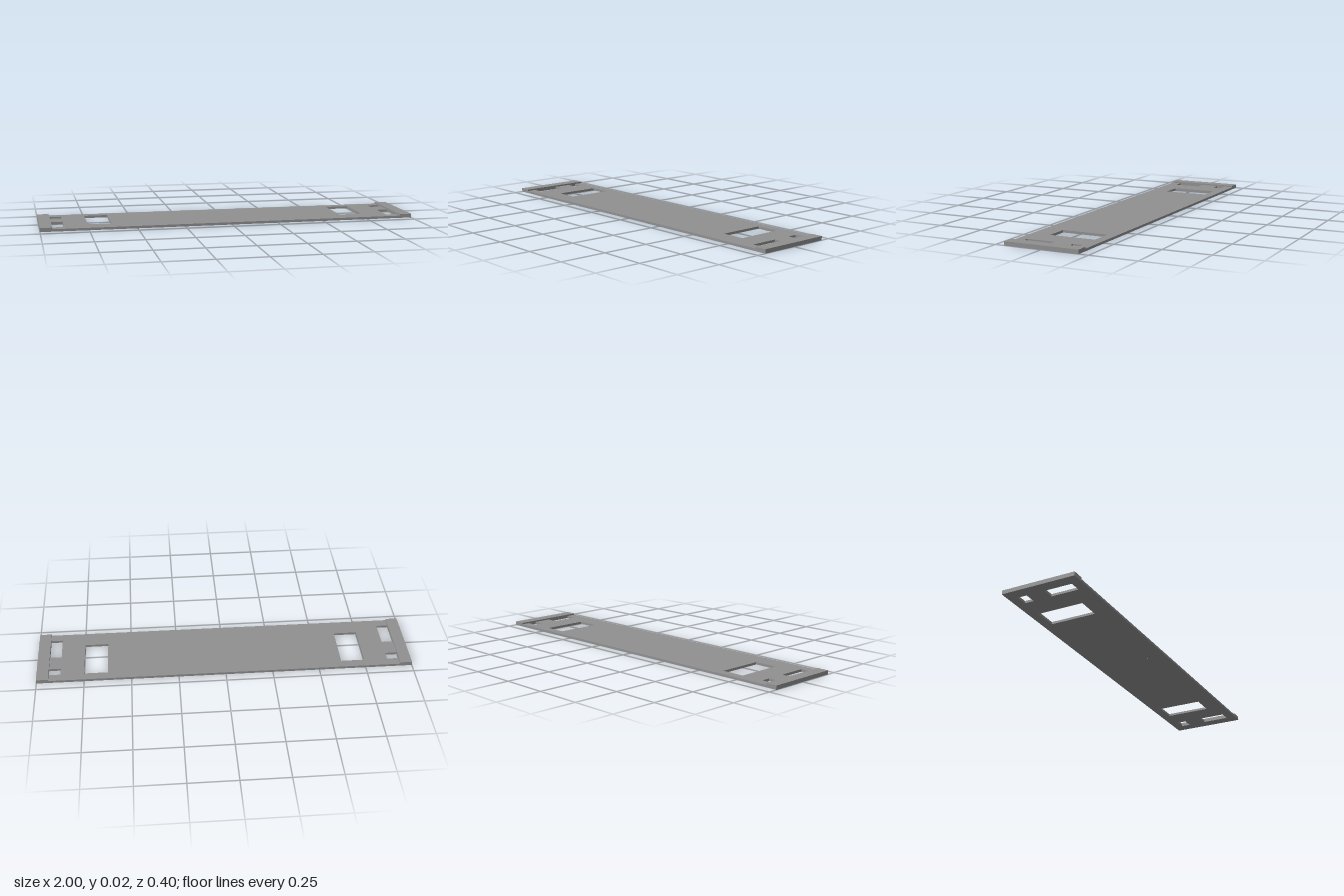
import * as THREE from 'three';

const LENGTH = 2, WIDTH = 0.4, PLATE = 0.0125, HEIGHT = 0.021, LIP = 0.0625;

// Slots at the +x end as [x0, x1, z0, z1]; mirrored to the other end
const SLOTS = [
  [0.625, 0.75, -0.15, 0.098],   // large window
  [0.875, 0.9375, -0.15, -0.1],  // small slot
  [0.875, 0.9375, 0, 0.149],     // long slot
];

// Counter-clockwise rectangle in plan; shape y runs along -z
function rectangle(PathType, x0, x1, z0, z1) {
  return new PathType([[x0, -z1], [x1, -z1], [x1, -z0], [x0, -z0]].map(([x, y]) => new THREE.Vector2(x, y)));
}

export function createModel() {
  const group = new THREE.Group();
  group.name = 'slottedPlate';
  const material = new THREE.MeshStandardMaterial({ color: 0x909090 });

  // Flat base plate with its cut-outs
  const outline = rectangle(THREE.Shape, -LENGTH / 2, LENGTH / 2, -WIDTH / 2, WIDTH / 2);
  for (const [x0, x1, z0, z1] of SLOTS) {
    outline.holes.push(rectangle(THREE.Path, x0, x1, z0, z1));
    outline.holes.push(rectangle(THREE.Path, -x1, -x0, z0, z1));
  }
  const plateGeometry = new THREE.ExtrudeGeometry(outline, { depth: PLATE, bevelEnabled: false });
  plateGeometry.rotateX(-Math.PI / 2);
  const plate = new THREE.Mesh(plateGeometry, material);
  plate.name = 'basePlate';
  group.add(plate);

  // Raised lip across each end
  const lipGeometry = new THREE.BoxGeometry(LIP, HEIGHT - PLATE, WIDTH);
  for (const [name, side] of [['leftEndLip', 1], ['rightEndLip', -1]]) {
    const lip = new THREE.Mesh(lipGeometry, material);
    lip.name = name;
    lip.position.set(side * (LENGTH - LIP) / 2, (HEIGHT + PLATE) / 2, 0);
    group.add(lip);
  }
  return group;
}
